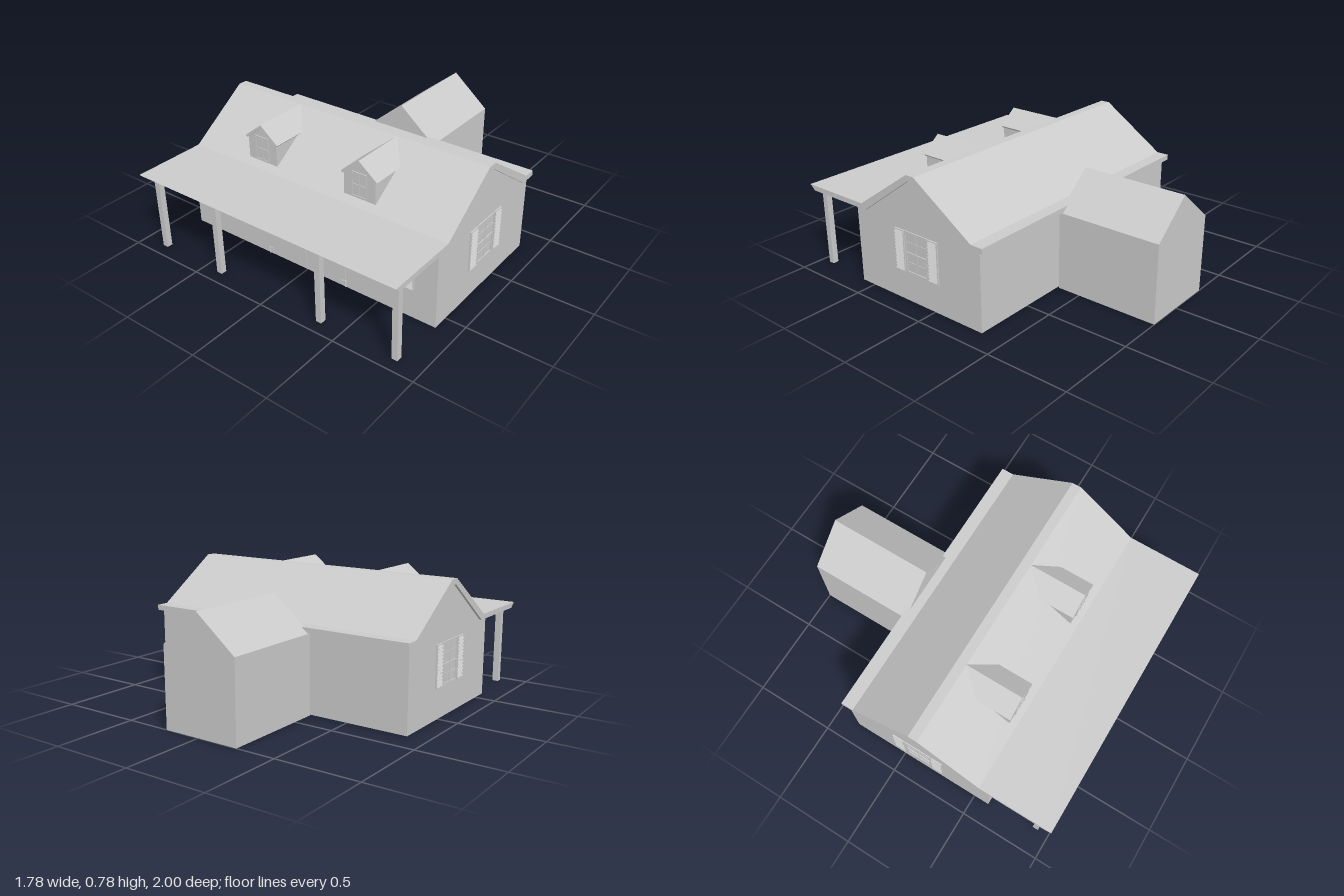
import * as THREE from 'three';

const mat = new THREE.MeshStandardMaterial({ color: 0xcccccc, flatShading: true });

function add(parent, name, geo, x = 0, y = 0, z = 0) {
  const m = new THREE.Mesh(geo, mat);
  m.name = name;
  m.position.set(x, y, z);
  parent.add(m);
  return m;
}

// Box given by its corner limits
function box(parent, name, x0, x1, y0, y1, z0, z1) {
  return add(parent, name, new THREE.BoxGeometry(x1 - x0, y1 - y0, z1 - z0),
    (x0 + x1) / 2, (y0 + y1) / 2, (z0 + z1) / 2);
}

function extrude(points, depth) {
  const shape = new THREE.Shape(points.map(p => new THREE.Vector2(p[0], p[1])));
  return new THREE.ExtrudeGeometry(shape, { depth, bevelEnabled: false });
}

// Profile of [z, y] points swept from x0 to x1
function sweepX(points, x0, x1) {
  return extrude(points, x1 - x0).rotateY(-Math.PI / 2).translate(x1, 0, 0);
}

// Rectangular border made of four bars
function border(parent, name, x0, x1, y0, y1, z0, z1, t) {
  box(parent, name, x0, x0 + t, y0, y1, z0, z1);
  box(parent, name, x1 - t, x1, y0, y1, z0, z1);
  box(parent, name, x0 + t, x1 - t, y0, y0 + t, z0, z1);
  box(parent, name, x0 + t, x1 - t, y1 - t, y1, z0, z1);
}

// Louvred shutter, 0.075 wide, centred on x
function shutter(parent, x) {
  const g = new THREE.Group();
  g.name = 'shutter';
  g.position.x = x;
  parent.add(g);
  border(g, 'shutterFrame', -0.037, 0.037, -0.127, 0.127, 0, 0.009, 0.006);
  for (let i = 0; i < 12; i++) {
    const slat = add(g, 'slat', new THREE.BoxGeometry(0.064, 0.019, 0.003), 0, -0.11 + i * 0.02, 0.008);
    slat.rotation.x = -0.6;
  }
}

// Sash window with a pair of shutters, facing +z
function shutteredWindow(parent, x, y, z, turn) {
  const g = new THREE.Group();
  g.name = 'window';
  g.position.set(x, y, z);
  g.rotation.y = turn;
  parent.add(g);
  box(g, 'glass', -0.085, 0.085, -0.125, 0.127, -0.002, 0.002);
  border(g, 'windowFrame', -0.086, 0.086, -0.127, 0.128, 0, 0.006, 0.007);
  border(g, 'lowerSash', -0.08, 0.08, -0.12, 0.003, 0, 0.008, 0.006);
  box(g, 'mullion', -0.003, 0.003, -0.12, 0.121, 0, 0.005);
  for (const s of [-0.06, 0.063]) box(g, 'glazingBar', -0.08, 0.08, s - 0.003, s + 0.003, 0, 0.005);
  shutter(g, -0.128);
  shutter(g, 0.128);
}

// Gabled dormer: walls, chevron roof and a small window
function dormer(parent, x) {
  const g = new THREE.Group();
  g.name = 'dormer';
  g.position.x = x;
  parent.add(g);
  add(g, 'dormerWalls', extrude([[-0.105, 0.54], [0.105, 0.54], [0.105, 0.67], [0, 0.755], [-0.105, 0.67]], 0.34), 0, 0, 0.16);
  add(g, 'dormerRoof', extrude([[-0.12, 0.68], [-0.108, 0.668], [0, 0.756], [0.108, 0.668], [0.12, 0.68], [0, 0.776]], 0.36), 0, 0, 0.148);
  border(g, 'dormerWindowFrame', -0.05, 0.05, 0.55, 0.70, 0.498, 0.506, 0.006);
  box(g, 'dormerGlass', -0.045, 0.045, 0.553, 0.697, 0.499, 0.502);
  box(g, 'dormerRail', -0.045, 0.045, 0.619, 0.626, 0.498, 0.506);
  box(g, 'dormerMullion', -0.003, 0.003, 0.555, 0.695, 0.498, 0.505);
}

// One leaf of the double door; s is its side
function doorLeaf(parent, s) {
  const g = new THREE.Group();
  g.name = 'door';
  parent.add(g);
  const span = (a, b) => (s > 0 ? [a, b] : [-b, -a]);
  box(g, 'doorPanel', ...span(0.002, 0.278), 0.006, 0.448, 0.595, 0.603);
  // hinges with bolts
  for (const y of [0.025, 0.235, 0.425]) {
    box(g, 'hingePlate', ...span(0.25, 0.28), y - 0.018, y + 0.018, 0.6, 0.605);
    add(g, 'hingePin', new THREE.CylinderGeometry(0.005, 0.005, 0.04, 10), s * 0.281, y, 0.604);
    for (const d of [-0.01, 0.01]) {
      add(g, 'bolt', new THREE.CylinderGeometry(0.003, 0.003, 0.003, 8).rotateX(Math.PI / 2), s * 0.258, y + d, 0.606);
    }
  }
  // handle: back plate and bowed grip
  box(g, 'handlePlate', ...span(0.011, 0.026), 0.195, 0.26, 0.6, 0.606);
  const grip = new THREE.CatmullRomCurve3([[0.2, 0.604], [0.207, 0.617], [0.228, 0.622], [0.248, 0.617], [0.255, 0.604]]
    .map(p => new THREE.Vector3(s * 0.018, p[0], p[1])));
  add(g, 'handleGrip', new THREE.TubeGeometry(grip, 12, 0.005, 8));
}

export function createModel() {
  const house = new THREE.Group();
  house.name = 'house';

  // Main block with its side gables
  add(house, 'mainWalls', sweepX([[0.598, 0], [0.598, 0.485], [0.51, 0.485], [0.145, 0.75], [0.105, 0.75],
    [-0.275, 0.485], [-0.345, 0.485], [-0.345, 0]], -0.875, 0.872));

  // Roof sheet running out over the porch
  add(house, 'mainRoof', sweepX([[1, 0.51], [0.54, 0.51], [0.155, 0.775], [0.098, 0.775], [-0.30, 0.51], [-0.377, 0.51],
    [-0.377, 0.478], [-0.268, 0.478], [0.11, 0.742], [0.145, 0.742], [0.51, 0.478], [0.962, 0.478]], -0.89, 0.89));

  // Rear wing
  add(house, 'rearWing', extrude([[-0.26, 0], [0.226, 0], [0.226, 0.475], [-0.012, 0.676], [-0.26, 0.475]], 0.645), 0, 0, -1);

  // Porch posts
  for (const x of [-0.833, -0.38, 0.353, 0.842]) box(house, 'porchPost', x - 0.018, x + 0.018, 0.005, 0.485, 0.895, 0.931);

  for (const x of [-0.39, 0.305]) dormer(house, x);

  // Front and side windows
  shutteredWindow(house, -0.597, 0.307, 0.598, 0);
  shutteredWindow(house, 0.568, 0.307, 0.598, 0);
  shutteredWindow(house, 0.872, 0.307, 0.123, Math.PI / 2);
  shutteredWindow(house, -0.875, 0.307, 0.123, -Math.PI / 2);

  // Double door
  for (const s of [-1, 1]) doorLeaf(house, s);

  return house;
}
